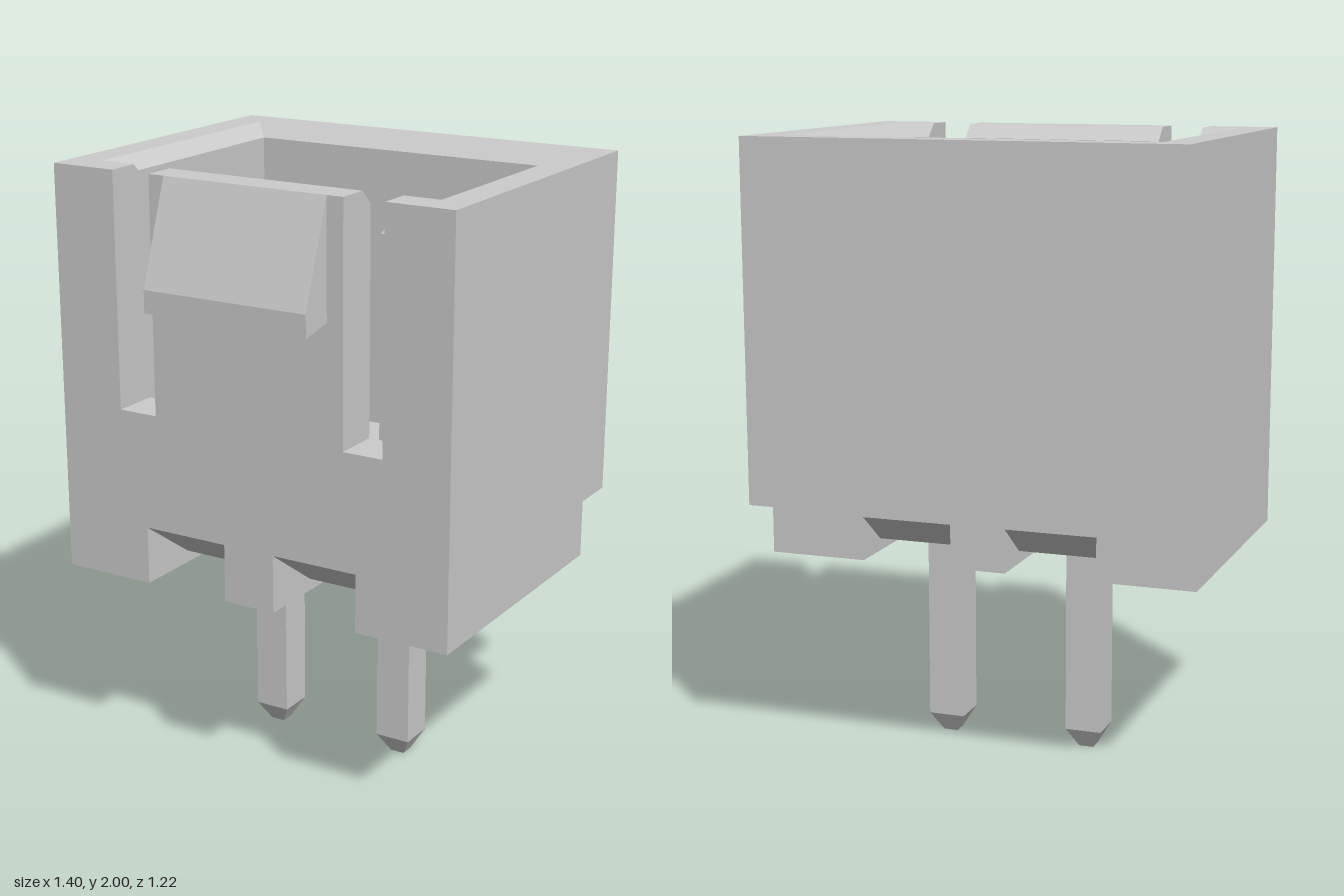
import * as THREE from 'three';
import { ConvexGeometry } from 'three/addons/geometries/ConvexGeometry.js';

const TOP = 2, LIP = 1.955, LEDGE = 0.86, BOTTOM = 0.67, FLOOR = 1.0;
const FRONT = 0.495, BACK = -0.61, STEP = -0.45, HALF_W = 0.7;
const IN_X = 0.55, IN_FRONT = 0.34, IN_BACK = -0.46, CHAMFER = 0.047;

export function createModel() {
  const model = new THREE.Group();
  const material = new THREE.MeshStandardMaterial({ color: 0xcccccc, flatShading: true });

  const add = (name, geometry) => {
    const mesh = new THREE.Mesh(geometry, material);
    mesh.name = name;
    model.add(mesh);
    return mesh;
  };

  // Box given by its limits on each axis
  const box = (name, x0, x1, y0, y1, z0, z1) =>
    add(name, new THREE.BoxGeometry(x1 - x0, y1 - y0, z1 - z0))
      .position.set((x0 + x1) / 2, (y0 + y1) / 2, (z0 + z1) / 2);

  // Side profile of [z, y] points extruded across x
  const profile = (name, points, width, x) => {
    const shape = new THREE.Shape(points.map(([z, y]) => new THREE.Vector2(z, y)));
    const geometry = new THREE.ExtrudeGeometry(shape, { depth: width, bevelEnabled: false });
    geometry.translate(0, 0, -width / 2).rotateY(-Math.PI / 2).translate(x, 0, 0);
    add(name, geometry);
  };

  // Wall with a chamfered inner rim; each end is [inner, lip, outer] in plan (x, z)
  const wall = (name, ends) => {
    const points = [];
    for (const [inner, lip, outer] of ends) {
      for (const [[x, z], y] of [[inner, LEDGE], [inner, LIP], [lip, TOP], [outer, TOP], [outer, LEDGE]]) {
        points.push(new THREE.Vector3(x, y, z));
      }
    }
    add(name, new ConvexGeometry(points));
  };

  const corner = (s, inZ, outZ) => [
    [s * IN_X, inZ],
    [s * (IN_X + CHAMFER), inZ + Math.sign(outZ) * CHAMFER],
    [s * HALF_W, outZ],
  ];
  const frontCut = (x) => [[x, IN_FRONT], [x, IN_FRONT + CHAMFER], [x, FRONT]];

  // Shroud walls
  wall('backWall', [corner(-1, IN_BACK, BACK), corner(1, IN_BACK, BACK)]);
  for (const s of [-1, 1]) {
    const side = s > 0 ? 'left' : 'right';
    wall(side + 'Wall', [corner(s, IN_BACK, BACK), corner(s, IN_FRONT, FRONT)]);
    wall(side + 'FrontWall', [corner(s, IN_FRONT, FRONT), frontCut(s * 0.475)]);
  }

  // Front wall below the slots, and the flexible tab between them
  box('lowerFrontWall', -0.475, 0.475, LEDGE, 1.24, IN_FRONT, FRONT);
  wall('latchTab', [frontCut(-0.34), frontCut(0.34)]);

  // Wedge-shaped catch on the tab
  profile('latchWedge', [[FRONT, TOP], [FRONT, 1.625], [0.61, 1.603], [0.61, 1.675]], 0.57, 0);

  // Cavity floor
  box('cavityFloor', -IN_X, IN_X, LEDGE, FLOOR, IN_BACK, IN_FRONT);

  // Standing ribs under the body
  for (const [x0, x1] of [[-HALF_W, -0.385], [-0.09, 0.09], [0.385, HALF_W]]) {
    box('baseRib', x0, x1, BOTTOM, LEDGE, STEP, FRONT);
  }

  for (const s of [-1, 1]) {
    // Channel roof, sloping up to the front and back
    profile('channelRoof',
      [[FRONT, LEDGE], [STEP, LEDGE], [STEP, 0.81], [-0.32, 0.71], [0.28, 0.71]], 0.295, s * 0.2375);

    // Square pin with tapered ends
    const pin = [];
    for (const [y, h] of [[0, 0.024], [0.065, 0.06], [1.785, 0.06], [1.85, 0.024]]) {
      for (const [a, b] of [[-1, -1], [1, -1], [1, 1], [-1, 1]]) {
        pin.push(new THREE.Vector3(s * 0.24 + a * h, y, -0.06 + b * h));
      }
    }
    add('pin', new ConvexGeometry(pin));
  }

  return model;
}
